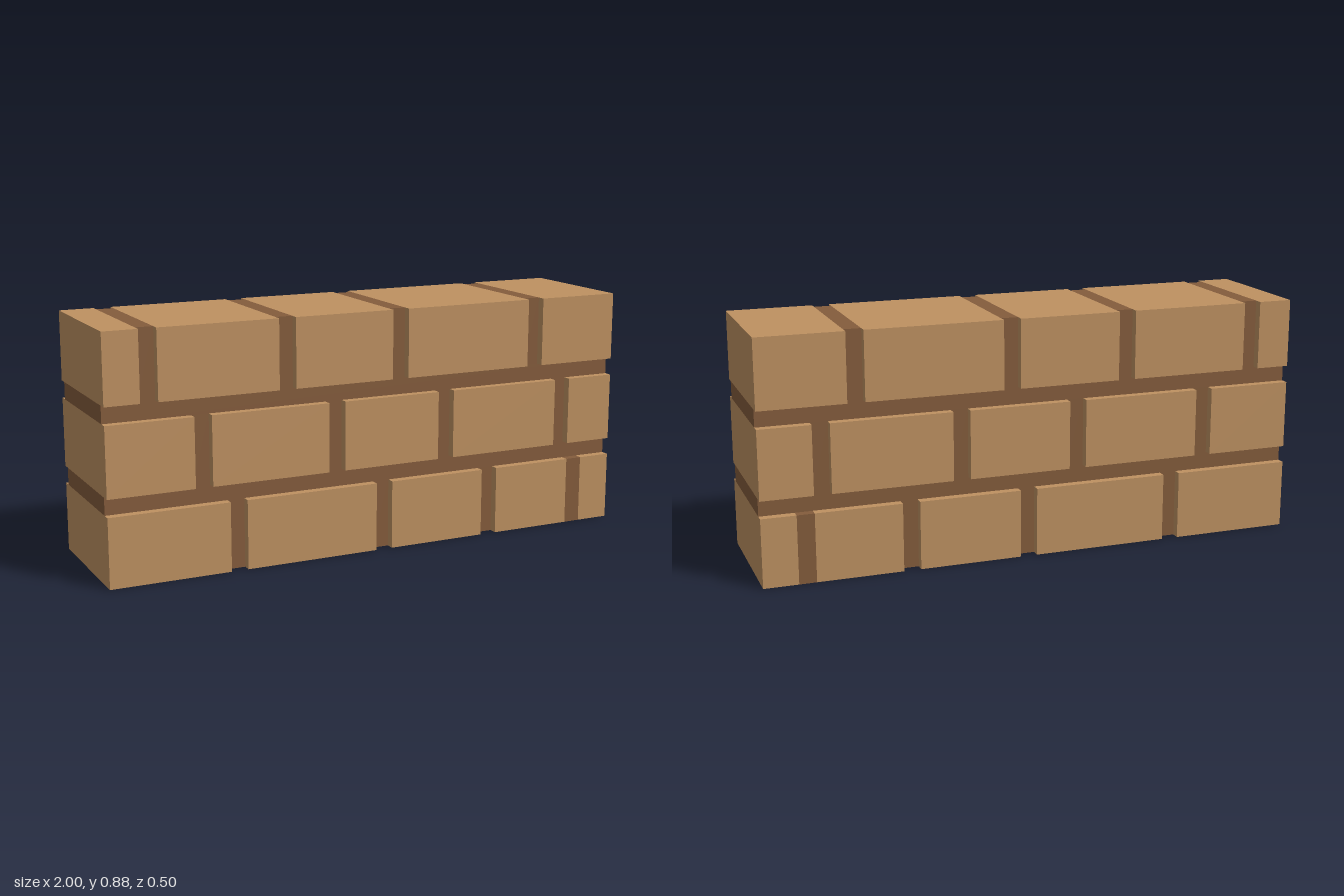
import * as THREE from 'three';

const U = 1 / 16; // joint width, and the unit of the layout
const DEPTH = 0.5, MORTAR_DEPTH = 0.4375, COURSE_H = 4 * U;

// Left edge of every vertical joint, in units, from the bottom course up
const COURSES = [
  [-9, 0, 7, 13],
  [-11, -3, 4, 12],
  [-14, -6, 1, 10],
];

export function createModel() {
  const brick = new THREE.MeshStandardMaterial({ color: 0xbe9161 });
  brick.name = 'tan brick';
  const mortar = new THREE.MeshStandardMaterial({ color: 0x845c3c });
  mortar.name = 'brown mortar';

  const wall = new THREE.Group();
  wall.name = 'brickWall';

  const block = (parent, name, material, x0, x1, y0, height, depth) => {
    const mesh = new THREE.Mesh(new THREE.BoxGeometry(x1 - x0, height, depth), material);
    mesh.position.set((x0 + x1) / 2, y0 + height / 2, 0);
    mesh.name = name;
    parent.add(mesh);
  };

  COURSES.forEach((joints, row) => {
    const course = new THREE.Group();
    course.name = `course${row + 1}`;
    const y = row * 5 * U;

    // Bricks, with recessed vertical joints between them
    let start = -1;
    joints.forEach((j, i) => {
      const x = j * U;
      block(course, 'brick', brick, start, x, y, COURSE_H, DEPTH);
      // The last joint of the bottom course is filled flush with the bricks
      const flush = row === 0 && i === joints.length - 1;
      block(course, 'verticalJoint', mortar, x, x + U, y, COURSE_H, flush ? DEPTH : MORTAR_DEPTH);
      start = x + U;
    });
    block(course, 'brick', brick, start, 1, y, COURSE_H, DEPTH);

    // Mortar bed on top of the course
    if (row < COURSES.length - 1) {
      block(course, 'mortarBed', mortar, -1, 1, y + COURSE_H, U, MORTAR_DEPTH);
    }
    wall.add(course);
  });

  return wall;
}
